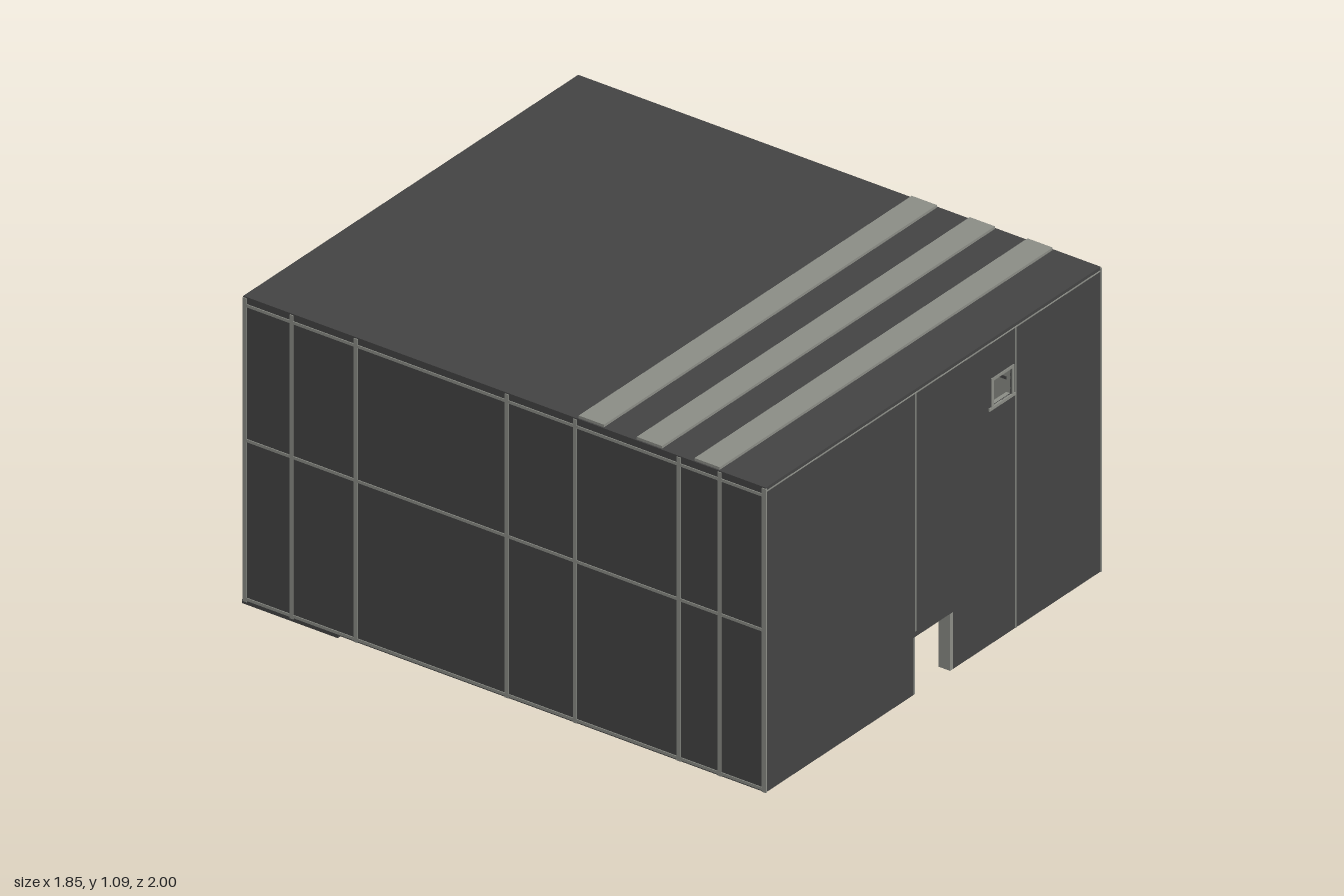
import * as THREE from 'three';

const L = -0.92, R = 0.79, F = 0.995, B = -0.995, BASE = 0.01, TOP = 1.075, T = 0.006;

export function createModel() {
  const model = new THREE.Group();
  const dark = new THREE.MeshStandardMaterial({ color: 0x434343 });
  dark.name = 'charcoal';
  const light = new THREE.MeshStandardMaterial({ color: 0x8b8d86 });
  light.name = 'stone grey';

  // Box given by its minimum and maximum on every axis
  function box(name, mat, x0, x1, y0, y1, z0, z1) {
    const m = new THREE.Mesh(new THREE.BoxGeometry(x1 - x0, y1 - y0, z1 - z0), mat);
    m.position.set((x0 + x1) / 2, (y0 + y1) / 2, (z0 + z1) / 2);
    m.name = name;
    model.add(m);
    return m;
  }

  // End wall outline with a doorway notch and an optional window
  const door = { x0: -0.165, x1: 0.035, top: 0.21 };
  const win = { x0: 0.24, x1: 0.335, y0: 0.84, y1: 0.93 };
  function endWall(name, mat, z, window) {
    const s = new THREE.Shape([
      [L, BASE], [door.x0, BASE], [door.x0, door.top], [door.x1, door.top],
      [door.x1, BASE], [R, BASE], [R, TOP], [L, TOP],
    ].map(p => new THREE.Vector2(...p)));
    if (window) {
      s.holes.push(new THREE.Path([
        [win.x0, win.y0], [win.x0, win.y1], [win.x1, win.y1], [win.x1, win.y0],
      ].map(p => new THREE.Vector2(...p))));
    }
    const m = new THREE.Mesh(new THREE.ExtrudeGeometry(s, { depth: T, bevelEnabled: false }), mat);
    m.position.z = z;
    m.name = name;
    model.add(m);
  }

  // Walls: dark skin outside, pale lining inside
  endWall('frontWall', dark, F - T, true);
  endWall('frontLining', light, F - 2 * T, true);
  endWall('backWall', dark, B, false);
  endWall('backLining', light, B + T, false);
  box('leftWall', dark, R - T, R, BASE, TOP, B, F);
  box('leftLining', light, R - 2 * T, R - T, BASE, TOP, B + T, F - T);
  box('rightWall', dark, L, L + T, BASE, TOP, B, F);
  box('rightLining', light, L + T, L + 2 * T, BASE, TOP, B + T, F - T);

  // Roof, ceiling and the floor strip at the back
  box('roof', dark, L, R, TOP - T, TOP + 0.004, B, F);
  box('ceiling', light, L + T, R - T, TOP - 2 * T, TOP - T, B + T, F - T);
  box('backFloor', dark, L, R, 0, BASE + 0.004, -1, -0.635);

  // Raised bands across the roof
  for (const z of [0.327, 0.548, 0.768]) {
    box('roofBand', light, L + 0.005, R - 0.005, TOP - T, 1.088, z - 0.048, z + 0.048);
  }

  // Side walls: posts and rails, pale outside and dark inside
  const posts = [0.82, 0.665, 0.27, 0.01, -0.565, -0.81];
  for (const [x, inward] of [[R, -1], [L, 1]]) {
    const plate = (name, mat, off, y0, y1, z0, z1) => {
      const c = x + inward * off;
      box(name, mat, c - 0.003, c + 0.003, y0, y1, z0, z1);
    };
    for (const z of posts) {
      plate('outerPost', light, 0, BASE, TOP, z - 0.007, z + 0.007);
      plate('innerPost', dark, 0.012, BASE, TOP - 0.012, z - 0.007, z + 0.007);
    }
    for (const z of [0.99, -0.988]) plate('cornerPost', light, 0, BASE, TOP, z - 0.008, z + 0.008);
    for (const y of [0.02, 0.577, 1.05]) {
      plate('outerRail', light, 0, y - 0.005, y + 0.005, B, F);
    }
    for (const y of [0.02, 0.27, 0.577, 0.82, 1.05]) {
      plate('innerRail', dark, 0.012, y - 0.005, y + 0.005, B + 0.012, F - 0.012);
    }
  }

  // End walls: thin pale joints outside
  const joint = 0.0025;
  box('frontJoint', light, -0.155 - joint, -0.155 + joint, 0.23, 1.067, F, F + 0.002);
  box('frontJoint', light, 0.355 - joint, 0.355 + joint, BASE, 1.067, F, F + 0.002);
  box('frontTopJoint', light, L, R, 1.064, 1.068, F, F + 0.002);
  box('backJoint', light, 0.03 - joint, 0.03 + joint, door.top, TOP, B - 0.002, B);

  // End walls: dark joints inside, broken around the doorway and window
  for (const [z, xs] of [[F - 0.014, [-0.52, -0.155, 0.355]], [B + 0.012, [-0.52, 0.03, 0.4]]]) {
    for (const x of xs) {
      const y0 = x > door.x0 && x < door.x1 ? door.top : BASE;
      box('innerEndPost', dark, x - 0.005, x + 0.005, y0, TOP - 0.012, z, z + 0.002);
    }
    for (const y of [0.27, 0.577, 0.82]) {
      box('innerEndRail', dark, L + 0.012, R - 0.012, y - 0.005, y + 0.005, z, z + 0.002);
    }
  }

  // Doorway linings and the lintel inside the front door
  for (const [z0, z1] of [[F - 0.045, F], [B, B + 0.03]]) {
    box('doorJamb', light, door.x0, door.x0 + 0.008, BASE, door.top, z0, z1);
    box('doorJamb', light, door.x1 - 0.014, door.x1, BASE, door.top, z0, z1);
  }
  box('doorLintel', dark, door.x0 - 0.01, door.x1 + 0.01, door.top, door.top + 0.02, F - 0.04, F - 0.012);

  // Window frame and sill
  box('windowFrame', light, win.x0 - 0.01, win.x0, 0.83, 0.94, F - 0.02, F + 0.003);
  box('windowFrame', light, win.x1, win.x1 + 0.01, 0.83, 0.94, F - 0.02, F + 0.003);
  box('windowFrame', light, win.x0, win.x1, win.y1, 0.94, F - 0.02, F + 0.003);
  box('windowSill', light, win.x0 - 0.022, win.x1 + 0.015, 0.83, win.y0, F - 0.02, F + 0.004);

  // Two bays standing out from the left wall
  for (const [z0, z1] of [[0.268, 0.662], [-0.57, -0.177]]) {
    box('sideBay', light, R, 0.922, 0.11, 0.577, z0, z1);
  }

  // Rungs and a small shelf on the inside of the right wall
  for (let y = 0.1; y < 1; y += 0.08) {
    box('rung', dark, L + 0.012, L + 0.03, y, y + 0.012, 0.45, 0.49);
  }
  box('shelf', dark, L + 0.012, L + 0.1, 0.57, 0.59, 0.32, 0.46);

  return model;
}
